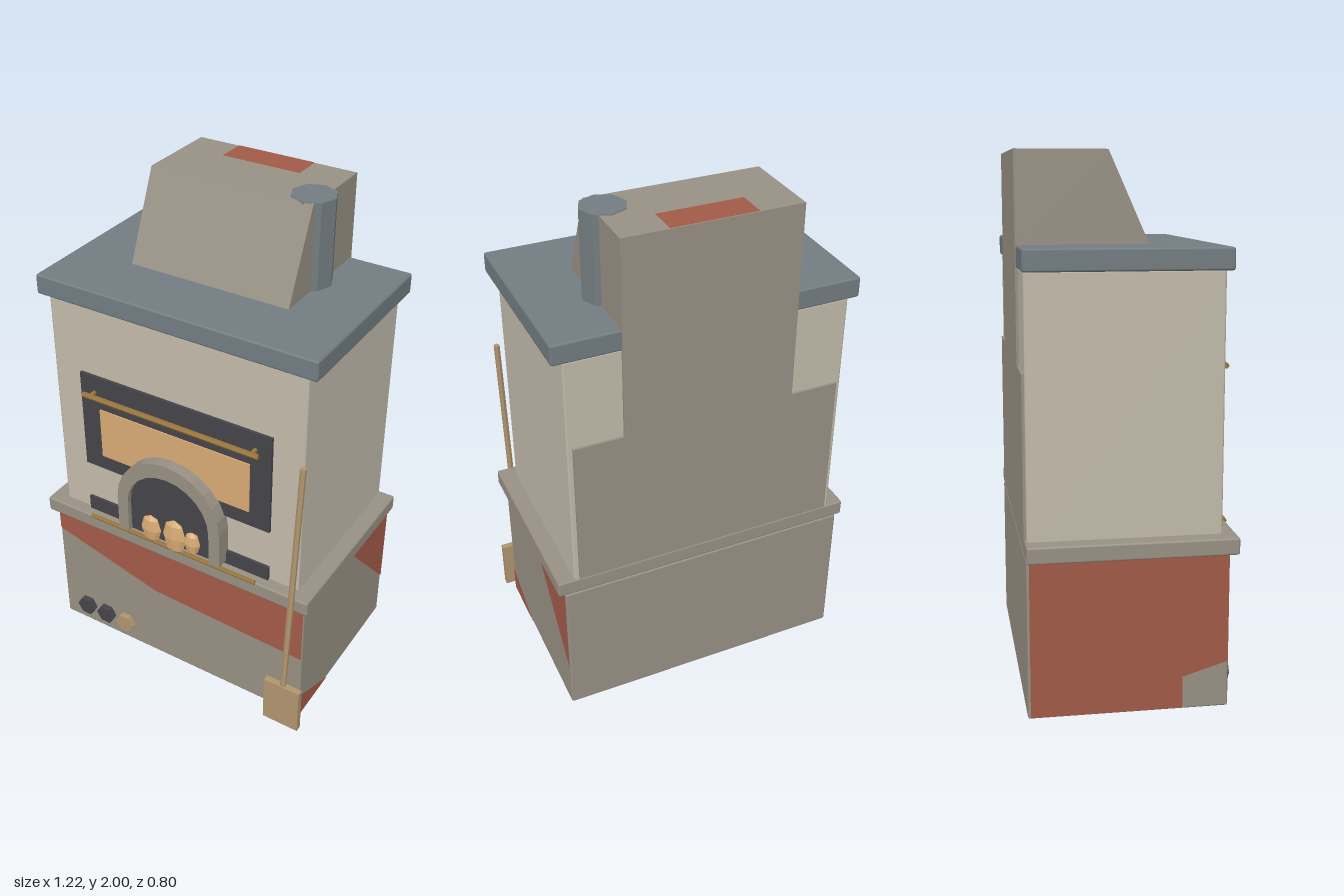
import * as THREE from 'three';
import { RoundedBoxGeometry } from 'three/addons/geometries/RoundedBoxGeometry.js';

const mat = (name, color) => {
  const m = new THREE.MeshStandardMaterial({ color });
  m.name = name;
  return m;
};

export function createModel() {
  const stone = mat('stone', 0x989083);
  const plaster = mat('plaster', 0xc2baab);
  const slate = mat('slate', 0x727c81);
  const brick = mat('brick', 0xa25a48);
  const iron = mat('iron', 0x45444a);
  const amber = mat('amber', 0xd8ab74);
  const brass = mat('brass', 0x98743a);
  const wood = mat('wood', 0xb09570);

  const model = new THREE.Group();
  model.name = 'stoneOven';

  const add = (name, geometry, material, x = 0, y = 0, z = 0) => {
    const mesh = new THREE.Mesh(geometry, material);
    mesh.name = name;
    mesh.position.set(x, y, z);
    model.add(mesh);
    return mesh;
  };
  // Box given by its half width, or its x range, and its y and z ranges
  const box = (name, material, [x0, x1], [y0, y1], [z0, z1], bevel = 0) => {
    const size = [x1 - x0, y1 - y0, z1 - z0];
    const g = bevel ? new RoundedBoxGeometry(...size, 1, bevel) : new THREE.BoxGeometry(...size);
    return add(name, g, material, (x0 + x1) / 2, (y0 + y1) / 2, (z0 + z1) / 2);
  };
  const sym = (h) => [-h, h];
  const flat = (points) => new THREE.Shape(points.map(([x, y]) => new THREE.Vector2(x, y)));
  const rod = (name, material, a, b, radius, sides = 6) => {
    const from = new THREE.Vector3(...a), to = new THREE.Vector3(...b);
    const dir = to.clone().sub(from);
    const mesh = add(name, new THREE.CylinderGeometry(radius, radius, dir.length(), sides).toNonIndexed(), material);
    mesh.geometry.computeVertexNormals();
    mesh.position.copy(from).add(to).multiplyScalar(0.5);
    mesh.quaternion.setFromUnitVectors(new THREE.Vector3(0, 1, 0), dir.normalize());
    return mesh;
  };

  // Main masonry
  box('base', stone, sym(0.58), [0.005, 0.585], [-0.4, 0.33], 0.008);
  box('ledge', stone, sym(0.605), [0.585, 0.648], [-0.4, 0.36], 0.008);
  box('body', plaster, sym(0.54), [0.64, 1.59], [-0.393, 0.31], 0.008);
  box('topSlab', slate, sym(0.58), [1.588, 1.667], [-0.4, 0.33], 0.008);
  box('backPanel', stone, sym(0.52), [0.65, 1.24], [-0.402, -0.38]);

  // Chimney hood with a sloped front, its back running down behind the slab
  const hoodShape = flat([[-0.403, 1.24], [-0.385, 1.24], [-0.385, 1.66], [0.08, 1.66], [-0.07, 1.997], [-0.403, 1.997]]);
  const hood = add('chimneyHood',
    new THREE.ExtrudeGeometry(hoodShape, { depth: 0.66, bevelEnabled: false }).translate(0, 0, -0.33), stone);
  hood.rotation.y = -Math.PI / 2;
  rod('fluePipe', slate, [0.29, 1.65, -0.152], [0.29, 2, -0.152], 0.085, 8);

  // Exposed brick patches, painted on the faces
  const patch = (name, points, pos, rx = 0, ry = 0) => {
    const mesh = add(name, new THREE.ShapeGeometry(flat(points)), brick, ...pos);
    mesh.rotation.set(rx, ry, 0);
  };
  const q = Math.PI / 2;
  patch('frontBrick', [[-0.577, 0.58], [-0.577, 0.48], [-0.1, 0.35], [0.577, 0.32], [0.577, 0.58]], [0, 0, 0.332]);
  patch('leftBrickUpper', [[0.05, 0.58], [0.397, 0.2], [0.397, 0.58]], [0.582, 0, 0], 0, q);
  patch('leftBrickLower', [[-0.327, 0.01], [-0.09, 0.01], [-0.327, 0.12]], [0.582, 0, 0], 0, q);
  patch('rightBrick', [[-0.39, 0.01], [0.16, 0.01], [0.16, 0.13], [0.327, 0.18], [0.327, 0.58], [-0.39, 0.58]],
    [-0.582, 0, 0], 0, -q);
  patch('bottomBrick', [[-0.577, -0.397], [0.577, -0.397], [0.577, 0.06], [-0.577, -0.18]], [0, 0.003, 0], q);
  patch('hoodBrick', [[-0.16, 0.285], [0.16, 0.285], [0.16, 0.402], [-0.16, 0.402]], [0, 1.999, 0], -q);

  // Oven door, window and rails
  box('doorFrame', iron, sym(0.415), [0.88, 1.3], [0.3, 0.322]);
  box('doorWindow', amber, sym(0.33), [0.945, 1.16], [0.32, 0.327]);
  box('lowerVent', iron, sym(0.415), [0.648, 0.71], [0.3, 0.322]);
  rod('doorHandle', brass, [-0.38, 1.23, 0.355], [0.38, 1.23, 0.355], 0.011);
  for (const s of [-1, 1]) rod('handleBracket', brass, [s * 0.35, 1.23, 0.315], [s * 0.35, 1.23, 0.355], 0.009);
  rod('ledgeRail', brass, [-0.38, 0.648, 0.358], [0.38, 0.648, 0.358], 0.009);

  // Arched firebox mouth
  const archPoints = (r, cy, bottom) => {
    const pts = [[r, bottom]];
    for (let i = 0; i <= 12; i++) {
      const a = (i / 12) * Math.PI;
      pts.push([r * Math.cos(a), cy + r * Math.sin(a)]);
    }
    return [...pts, [-r, bottom]];
  };
  const outer = archPoints(0.232, 0.818, 0.665);
  const inner = archPoints(0.185, 0.802, 0.665);
  add('archSurround', new THREE.ExtrudeGeometry(flat([...outer, ...inner.reverse()]),
    { depth: 0.067, bevelEnabled: false }), stone, 0, 0, 0.308);
  add('fireboxOpening', new THREE.ExtrudeGeometry(flat(inner),
    { depth: 0.045, bevelEnabled: false }), iron, 0, 0, 0.308);

  // Faceted flames
  for (const [x, y, w, h] of [[-0.083, 0.717, 0.046, 0.064], [0.025, 0.72, 0.053, 0.082], [0.106, 0.724, 0.036, 0.052]]) {
    const g = new THREE.SphereGeometry(1, 8, 4).toNonIndexed();
    g.scale(w, h, 0.022);
    g.computeVertexNormals();
    add('flame', g, amber, x, y, 0.366);
  }

  // Hexagonal knobs
  [iron, iron, wood].forEach((m, i) => {
    const knob = rod('knob', m, [-0.46 + i * 0.101, 0.1, 0.32], [-0.46 + i * 0.101, 0.1, 0.354], 0.043);
    knob.geometry.rotateY(q);
  });

  // Leaning wooden peel
  box('peelBlade', wood, [0.455, 0.61], [0, 0.207], [0.374, 0.4]);
  rod('peelHandle', wood, [0.533, 0.19, 0.386], [0.557, 1.25, 0.354], 0.012);

  return model;
}
